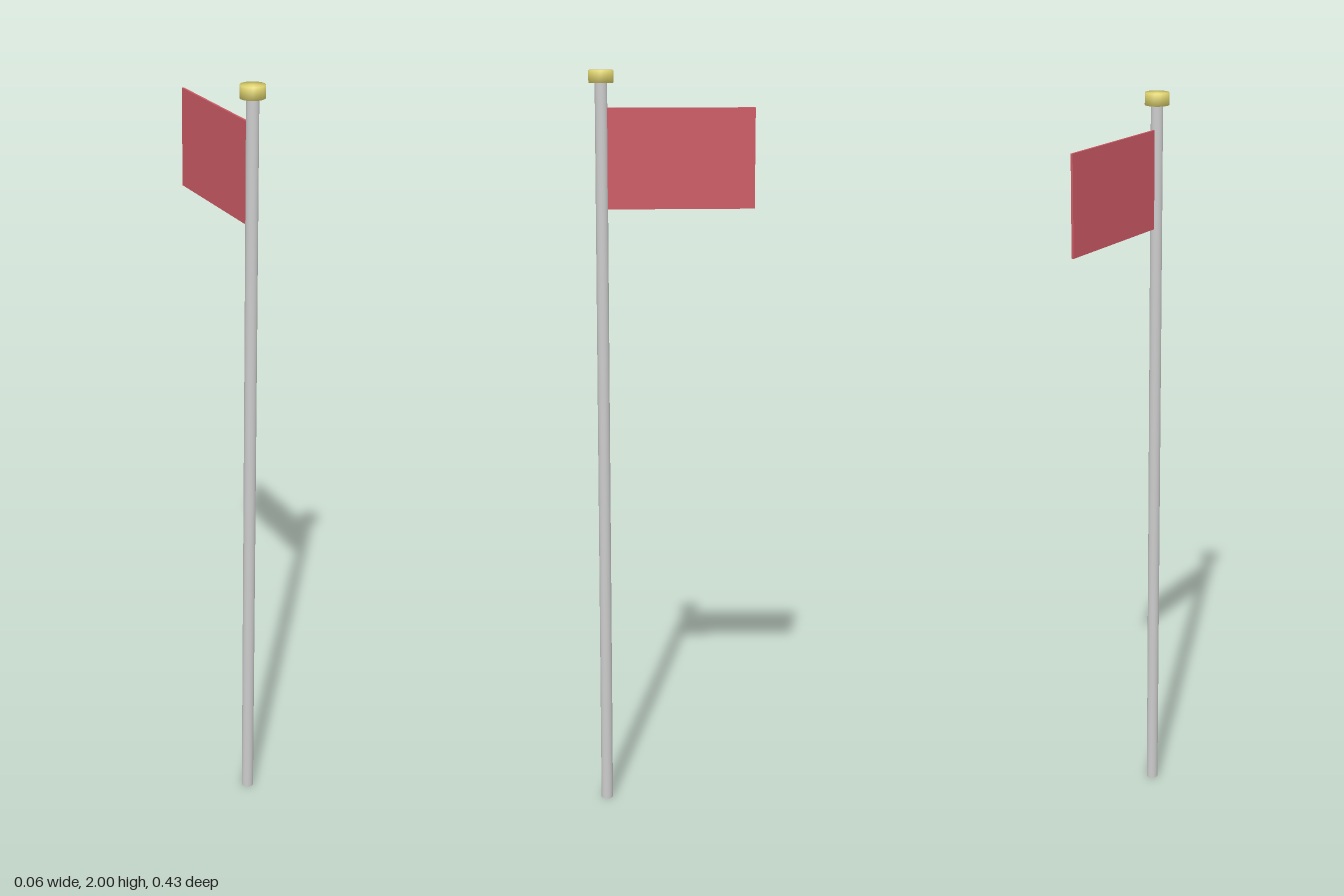
import * as THREE from 'three';
import { mergeVertices } from 'three/addons/utils/BufferGeometryUtils.js';

const POLE_Z = 0.183;

// Closed cylinder whose normals flow smoothly over its rims
function softCylinder(radius, bottom, top) {
  const geo = new THREE.CylinderGeometry(radius, radius, top - bottom, 16);
  geo.deleteAttribute('normal');
  geo.deleteAttribute('uv');
  const merged = mergeVertices(geo, 1e-5);
  merged.computeVertexNormals();
  merged.translate(0, (top + bottom) / 2, POLE_Z);
  return merged;
}

export function createModel() {
  const group = new THREE.Group();
  group.name = 'flagpole';

  const add = (name, geometry, color) => {
    const mesh = new THREE.Mesh(geometry, new THREE.MeshStandardMaterial({ color }));
    mesh.name = name;
    group.add(mesh);
  };

  // Upright pole and the wider cap on top of it
  add('pole', softCylinder(0.016, 0, 1.97), 0xcccccc);
  add('cap', softCylinder(0.032, 1.968, 2), 0xe0d470);

  // Thin flag running backwards from the pole
  const front = POLE_Z - 0.01, back = -0.215;
  const flag = new THREE.BoxGeometry(0.006, 0.26, front - back);
  flag.translate(0, 1.775, (front + back) / 2);
  add('flag', flag, 0xcc5a64);

  return group;
}
